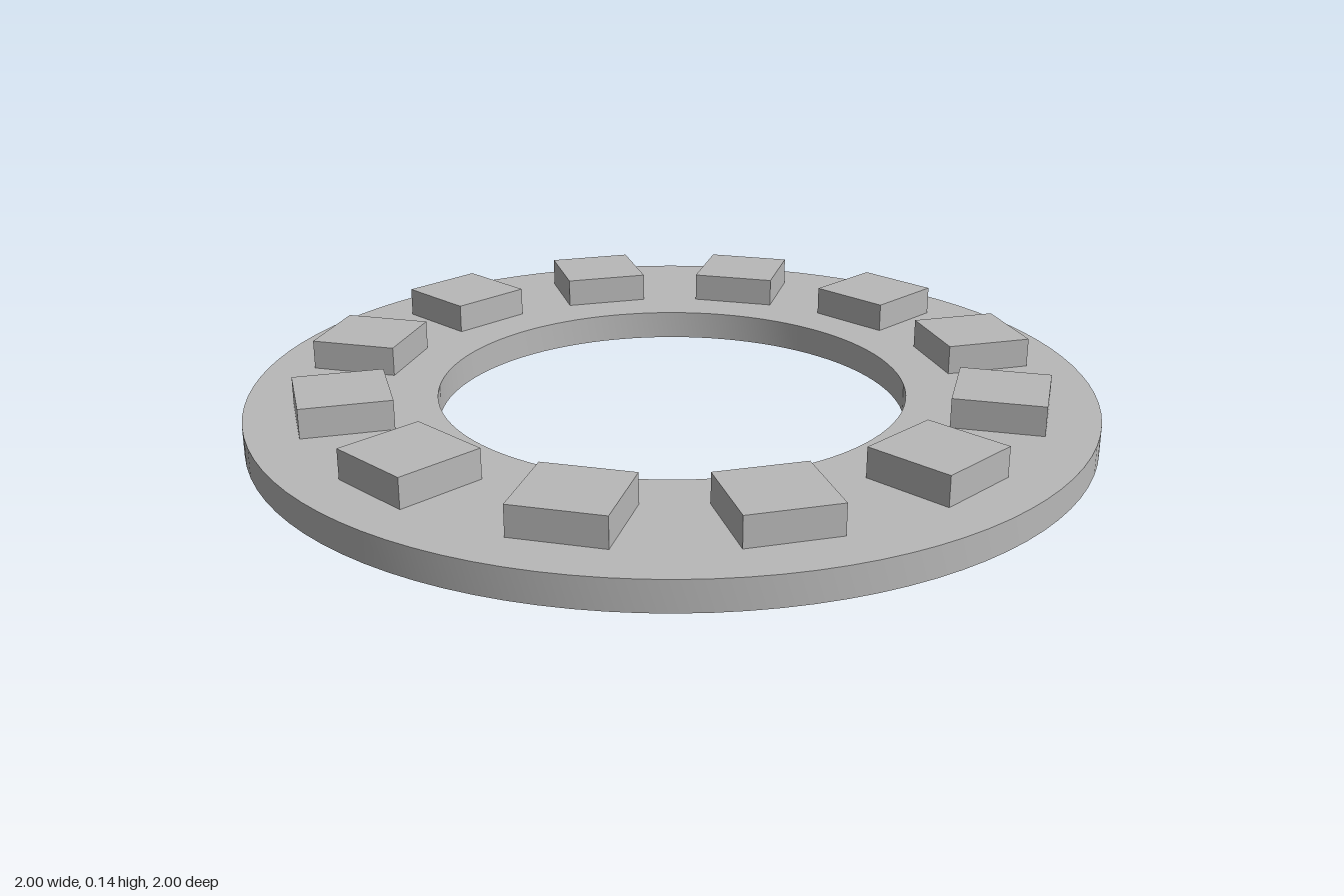
import * as THREE from 'three';
import { toCreasedNormals } from 'three/addons/utils/BufferGeometryUtils.js';

const OUTER = 1, INNER = 0.555, THICK = 0.07;
const BLOCKS = 12, BLOCK_RADIUS = 0.775, BLOCK_SIZE = 0.21, BLOCK_HEIGHT = 0.07;

export function createModel() {
  const model = new THREE.Group();
  model.name = 'studdedRing';
  const grey = new THREE.MeshStandardMaterial({ name: 'grey', color: 0xb8b8b8 });

  // Flat ring with a round opening
  const outline = new THREE.Shape().absarc(0, 0, OUTER, 0, Math.PI * 2, false);
  outline.holes.push(new THREE.Path().absarc(0, 0, INNER, 0, Math.PI * 2, true));
  const plate = new THREE.ExtrudeGeometry(outline, { depth: THICK, bevelEnabled: false, curveSegments: 48 });
  plate.rotateX(-Math.PI / 2);
  const ring = new THREE.Mesh(toCreasedNormals(plate, Math.PI / 6), grey);
  ring.name = 'ring';
  model.add(ring);

  // Square blocks spaced evenly around the top, each facing the centre
  const blocks = new THREE.Group();
  blocks.name = 'blocks';
  const blockGeometry = new THREE.BoxGeometry(BLOCK_SIZE, BLOCK_HEIGHT, BLOCK_SIZE);
  for (let i = 0; i < BLOCKS; i++) {
    const angle = (i / BLOCKS) * Math.PI * 2;
    const block = new THREE.Mesh(blockGeometry, grey);
    block.name = `block${i + 1}`;
    block.position.set(Math.sin(angle) * BLOCK_RADIUS, THICK + BLOCK_HEIGHT / 2, Math.cos(angle) * BLOCK_RADIUS);
    block.rotation.y = angle;
    blocks.add(block);
  }
  model.add(blocks);

  return model;
}
